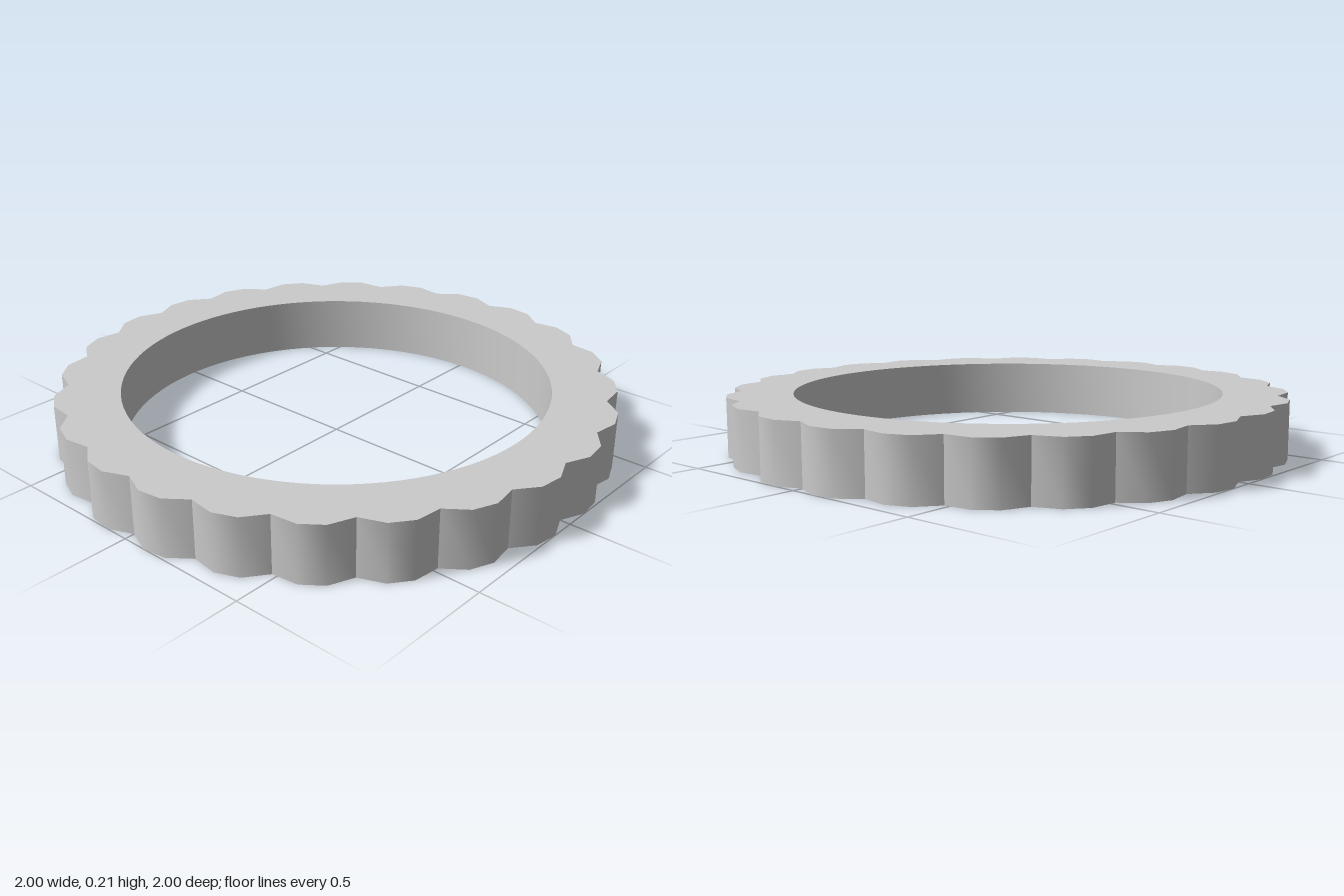
import * as THREE from 'three';
import { toCreasedNormals } from 'three/addons/utils/BufferGeometryUtils.js';

const LOBES = 24;
const VALLEY_RADIUS = 0.963;
const CREST_RADIUS = 1.004;
const INNER_RADIUS = 0.773;
const HEIGHT = 0.21;

export function createModel() {
  const group = new THREE.Group();
  group.name = 'scallopedRing';

  // Scalloped outline: each lobe is a valley followed by two crest points
  const points = [];
  const steps = LOBES * 3;
  for (let i = 0; i < steps; i++) {
    const angle = (i / steps) * Math.PI * 2;
    const radius = i % 3 === 0 ? VALLEY_RADIUS : CREST_RADIUS;
    points.push(new THREE.Vector2(Math.cos(angle) * radius, Math.sin(angle) * radius));
  }
  const outline = new THREE.Shape(points);

  // Round bore
  const bore = new THREE.Path();
  bore.absarc(0, 0, INNER_RADIUS, 0, Math.PI * 2, true);
  outline.holes.push(bore);

  // Extrude upwards; lobes stay smooth while valleys and rims stay sharp
  const extruded = new THREE.ExtrudeGeometry(outline, {
    depth: HEIGHT,
    bevelEnabled: false,
    curveSegments: 48,
  });
  extruded.rotateX(-Math.PI / 2);
  const geometry = toCreasedNormals(extruded, THREE.MathUtils.degToRad(38));

  const ring = new THREE.Mesh(geometry, new THREE.MeshStandardMaterial({ color: 0xcccccc }));
  ring.name = 'ring';
  group.add(ring);
  return group;
}
